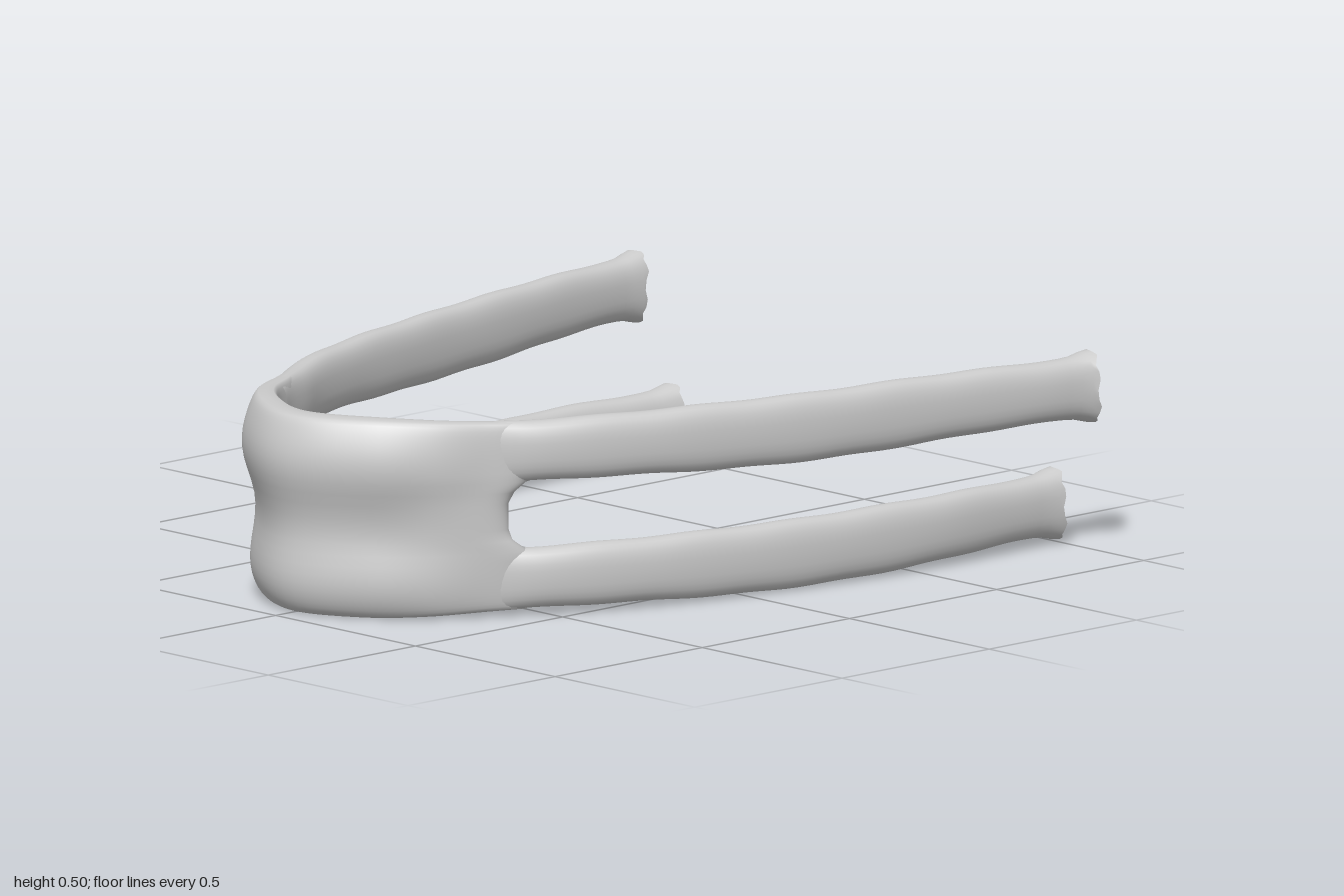
import * as THREE from 'three';

const material = new THREE.MeshStandardMaterial({ color: 0xcccccc, side: THREE.DoubleSide });
const UP = new THREE.Vector3(0, 1, 0);
const { lerp, smoothstep } = THREE.MathUtils;
const spow = (v, p) => Math.sign(v) * Math.abs(v) ** p;

// Surface from closed rings; at(s, angle) gives a point, s runs 0..1
function loft(name, rings, sides, at) {
  const pos = [], index = [];
  for (let i = 0; i <= rings; i++) {
    for (let k = 0; k < sides; k++) {
      pos.push(...at(i / rings, (k / sides) * Math.PI * 2).toArray());
      if (i === rings) continue;
      const a = i * sides + k, b = i * sides + (k + 1) % sides;
      index.push(a, a + sides, b, b, a + sides, b + sides);
    }
  }
  const geo = new THREE.BufferGeometry();
  geo.setAttribute('position', new THREE.Float32BufferAttribute(pos, 3));
  geo.setIndex(index);
  geo.computeVertexNormals();
  const mesh = new THREE.Mesh(geo, material);
  mesh.name = name;
  return mesh;
}

// Plan-view curve through [x, z] pairs
const planCurve = (pts) => new THREE.CatmullRomCurve3(pts.map(([x, z]) => new THREE.Vector3(x, 0, z)));

// Point on the curve pushed outwards by d and lifted to height y
function offset(curve, u, d, y) {
  const p = curve.getPointAt(u);
  const n = UP.clone().cross(curve.getTangentAt(u)).negate();
  return p.addScaledVector(n, d).setY(y);
}

// Wide curved front band, rippled over its height, with rounded side openings
function frontBand() {
  const half = [[0.165, 0.855], [0.29, 0.745], [0.37, 0.625], [0.42, 0.545]];
  const curve = planCurve([...half.map(([x, z]) => [-x, z]).reverse(), [0, 0.92], ...half]);
  return loft('frontBand', 72, 56, (t, a) => {
    const s = Math.sin((t - 0.5) * Math.PI), m = Math.abs(s);
    const y = 0.267 + lerp(0.252, 0.236, smoothstep(m, 0.3, 1)) * spow(Math.sin(a), 0.9);
    // fillets where the band meets the straps
    const inside = Math.min(y - 0.182, 0.347 - y);
    const reach = 0.92 + 0.08 * Math.max(0, 1 - Math.max(0, inside) / 0.045) ** 2;
    const thick = lerp(0.056, 0.036, smoothstep(m, 0, 0.9)) * Math.sqrt(Math.max(0, 1 - m ** 14));
    const ripple = (0.014 * Math.cos(((y - 0.4) / 0.32) * Math.PI * 2) + 0.06 * (y - 0.25)) * (1 - smoothstep(m, 0.35, 0.9));
    const n = UP.clone().cross(curve.getTangentAt(0.5)).negate();
    const sign = n.z > 0 ? 1 : -1;
    return offset(curve, 0.5 + 0.5 * s * reach, sign * (thick * spow(Math.cos(a), 0.4) + ripple), y);
  });
}

// Hollow strap running back from the band, flared and ragged at its open end
function strap(name, points, midY, drop, side) {
  const curve = planCurve(points);
  return loft(name, 56, 28, (t, angle) => {
    const a = angle * side;
    const flare = 1 + 0.18 * smoothstep(t, 0.955, 1);
    const bulge = smoothstep(t, 0.1, 0.5) * (1 - smoothstep(t, 0.6, 0.95));
    const h = (0.076 + 0.009 * bulge + 0.0015 * Math.sin(t * 40)) * flare;
    const w = lerp(0.026, 0.041, smoothstep(t, 0.02, 0.12)) * (1 + 0.12 * smoothstep(t, 0.8, 1)) * flare;
    const y = midY + 0.004 * Math.sin(t * 9) + drop * t + h * spow(Math.sin(a), 0.85);
    const tan = curve.getTangentAt(t);
    const p = curve.getPointAt(t);
    // outward direction of the strap in plan
    const d = w * spow(Math.cos(a), 0.75);
    p.set(p.x - tan.z * d, y, p.z + tan.x * d);
    if (t > 0.97) p.z = Math.max(-1, p.z) + (t === 1 ? 0.012 + 0.012 * Math.sin(a * 3 + midY * 20) * Math.cos(a * 5) : 0);
    p.x *= side;
    return p;
  });
}

export function createModel() {
  const model = new THREE.Group();
  model.name = 'headStrapFrame';
  model.add(frontBand());

  const root = [[0.32, 0.69], [0.36, 0.635], [0.468, 0.457]];
  const upper = [...root, [0.554, 0.243], [0.619, 0.02], [0.673, -0.2], [0.725, -0.47], [0.795, -0.85], [0.814, -1]];
  const lower = [...root, [0.555, 0.235], [0.625, -0.04], [0.676, -0.35], [0.697, -0.6], [0.69, -0.85], [0.684, -1]];
  for (const [label, side] of [['left', 1], ['right', -1]]) {
    model.add(strap(label + 'UpperStrap', upper, 0.426, 0, side));
    model.add(strap(label + 'LowerStrap', lower, 0.105, 0.006, side));
  }
  return model;
}
